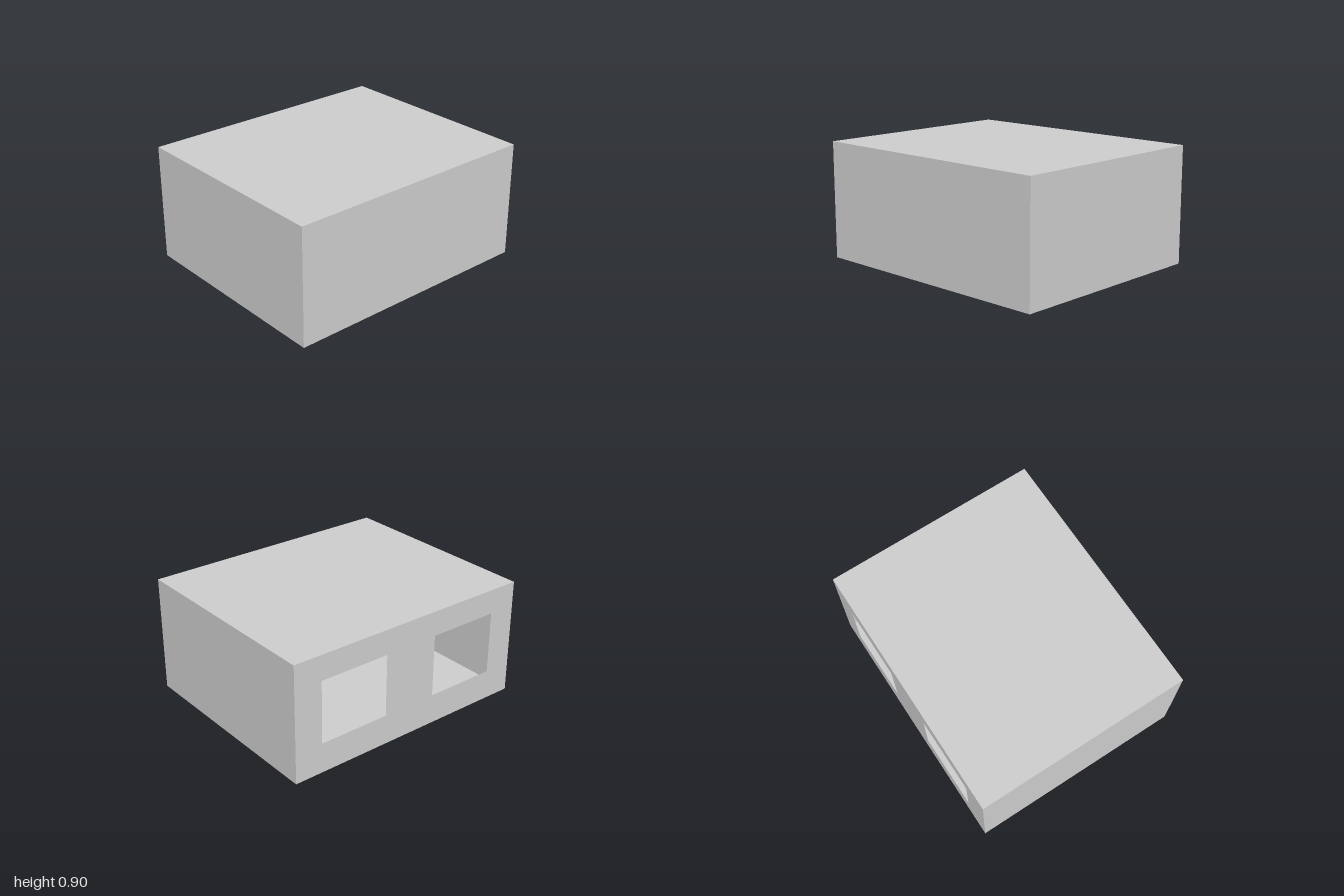
import * as THREE from 'three';

const W = 1.66, H = 0.9, D = 2;

const material = new THREE.MeshStandardMaterial({
  color: 0xcccccc, flatShading: true, side: THREE.DoubleSide,
});

// Rectangle traced from its lower left corner
function rectangle(path, x0, y0, x1, y1) {
  path.moveTo(x0, y0);
  path.lineTo(x1, y0);
  path.lineTo(x1, y1);
  path.lineTo(x0, y1);
  path.closePath();
  return path;
}

export function createModel() {
  const group = new THREE.Group();
  group.name = 'hollowBuilding';

  function panel(name, geometry, position, rotation) {
    const mesh = new THREE.Mesh(geometry, material);
    mesh.name = name;
    mesh.position.set(...position);
    mesh.rotation.set(...rotation);
    group.add(mesh);
  }

  const q = Math.PI / 2;

  // Floor and flat roof
  panel('floor', new THREE.PlaneGeometry(W, D), [0, 0, 0], [q, 0, 0]);
  panel('roof', new THREE.PlaneGeometry(W, D), [0, H, 0], [-q, 0, 0]);

  // Solid thin walls
  panel('frontWall', new THREE.PlaneGeometry(W, H), [0, H / 2, D / 2], [0, 0, 0]);
  panel('backWall', new THREE.PlaneGeometry(W, H), [0, H / 2, -D / 2], [0, Math.PI, 0]);
  panel('closedSideWall', new THREE.PlaneGeometry(D, H), [W / 2, H / 2, 0], [0, q, 0]);

  // Side wall with two window openings
  const wall = rectangle(new THREE.Shape(), -D / 2, 0, D / 2, H);
  for (const centre of [-0.5, 0.5]) {
    wall.holes.push(rectangle(new THREE.Path(), centre - 0.28, 0.23, centre + 0.28, 0.71));
  }
  panel('windowWall', new THREE.ShapeGeometry(wall), [-W / 2, 0, 0], [0, -q, 0]);

  return group;
}
